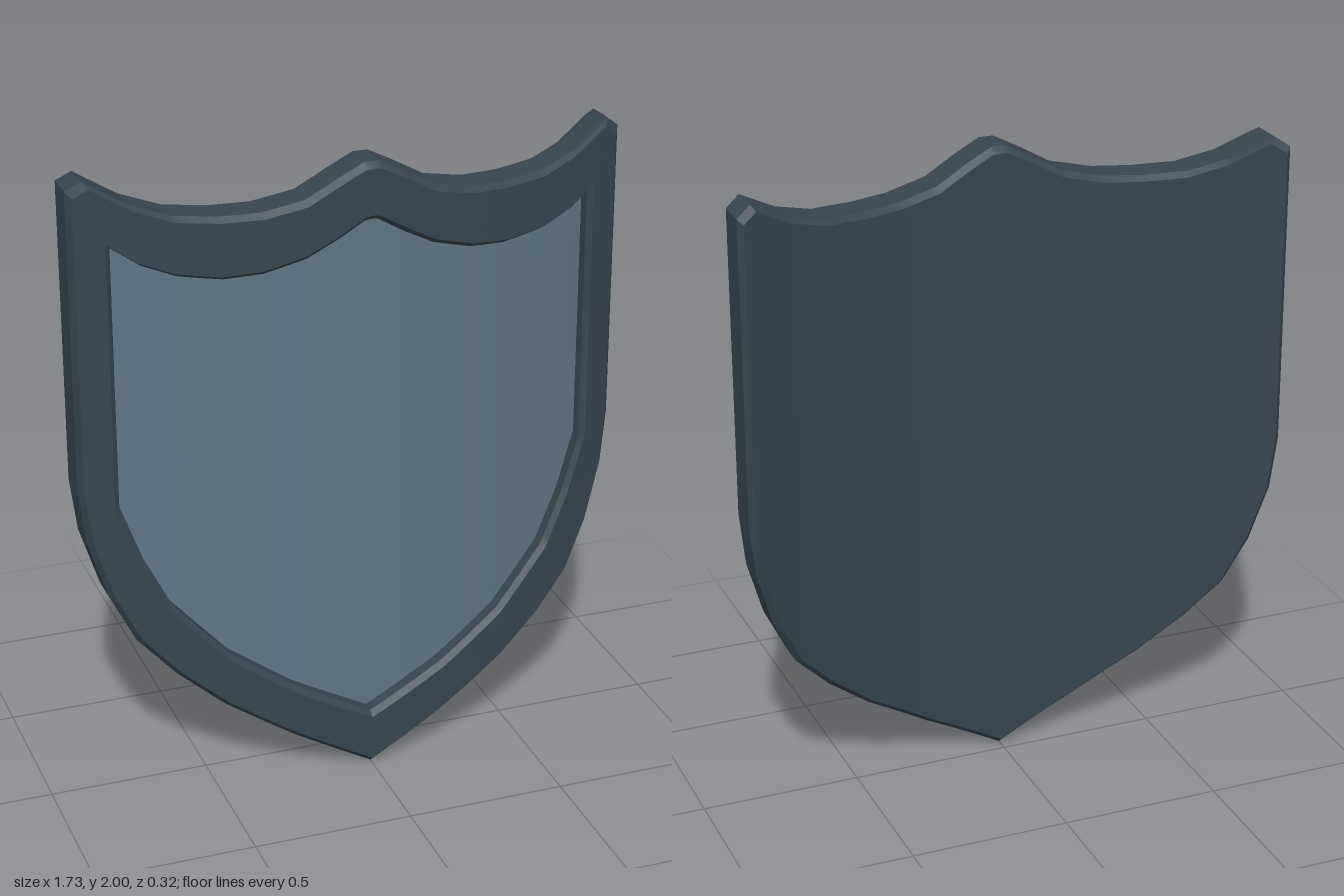
import * as THREE from 'three';
import { toCreasedNormals } from 'three/addons/utils/BufferGeometryUtils.js';

// Half outlines as [x, y] points, running from the centre line to the side
const OUTER = {
  top: [[0, 2], [0.023, 2], [0.1, 1.96], [0.2, 1.903], [0.33, 1.875], [0.45, 1.87], [0.58, 1.877], [0.7, 1.913], [0.82, 1.98], [0.865, 1.95]],
  bottom: [[0, 0], [0.25, 0.137], [0.46, 0.267], [0.6, 0.38], [0.715, 0.5], [0.79, 0.65], [0.845, 0.83], [0.865, 1]],
};
const INNER = {
  top: [[0, 1.84], [0.02, 1.838], [0.1, 1.79], [0.2, 1.737], [0.33, 1.7], [0.45, 1.69], [0.58, 1.705], [0.68, 1.74], [0.765, 1.795]],
  bottom: [[0, 0.165], [0.25, 0.295], [0.45, 0.43], [0.62, 0.61], [0.7, 0.77], [0.765, 0.95]],
};
const BACK = 0.025; // z of the back surface on the centre line
const BEND = 0.254; // how strongly the shield curves backwards

const widthOf = (half) => half.top.at(-1)[0];

function heightAt(points, x) {
  for (let i = 1; i < points.length; i++) {
    const [x0, y0] = points[i - 1];
    const [x1, y1] = points[i];
    if (x <= x1 + 1e-6) return y0 + ((y1 - y0) * (x - x0)) / (x1 - x0);
  }
  return points.at(-1)[1];
}

// Shared columns, as fractions of the half width, mirrored to both sides
const fractions = [...new Set([OUTER, INNER].flatMap((half) =>
  [...half.top, ...half.bottom].map(([x]) => Math.round((x / widthOf(half)) * 1000) / 1000)))]
  .sort((a, b) => a - b);
const columns = [...fractions.slice(1).reverse().map((u) => -u), ...fractions];

// Closed loop: along the top from left to right, back along the bottom
function makeLoop(half, scale, depth) {
  const point = (points, u) => {
    const x = u * widthOf(half);
    const y = heightAt(points, Math.abs(x));
    const sx = x * scale;
    return new THREE.Vector3(sx, 1 + (y - 1) * scale, BACK + depth - BEND * sx * sx);
  };
  return [
    ...columns.map((u) => point(half.top, u)),
    ...[...columns].reverse().map((u) => point(half.bottom, u)),
  ];
}

function quad(out, a, b, c, d) {
  out.push(a, b, c, a, c, d);
}

// Band of quads joining two loops
function addBand(out, a, b) {
  for (let i = 0; i < a.length; i++) {
    const j = (i + 1) % a.length;
    quad(out, a[i], b[i], b[j], a[j]);
  }
}

// Fills a loop with vertical strips
function addFill(out, loop, facingBack) {
  const last = loop.length - 1;
  for (let i = 0; i < columns.length - 1; i++) {
    const corners = [loop[i], loop[last - i], loop[last - i - 1], loop[i + 1]];
    if (facingBack) corners.reverse();
    quad(out, ...corners);
  }
}

function makeMesh(name, points, material) {
  const geometry = new THREE.BufferGeometry().setFromPoints(points);
  const mesh = new THREE.Mesh(toCreasedNormals(geometry, 0.4), material);
  mesh.name = name;
  return mesh;
}

export function createModel() {
  const group = new THREE.Group();
  group.name = 'shield';
  const rimMaterial = new THREE.MeshStandardMaterial({ color: 0x36454f });
  rimMaterial.name = 'dark slate';
  const panelMaterial = new THREE.MeshStandardMaterial({ color: 0x607584 });
  panelMaterial.name = 'blue grey';

  // Bevelled rim, swept from the back edge round to the recess
  const loops = [
    makeLoop(OUTER, 0.982, 0),
    makeLoop(OUTER, 1, 0.02),
    makeLoop(OUTER, 1, 0.12),
    makeLoop(OUTER, 0.982, 0.14),
    makeLoop(INNER, 1, 0.14),
    makeLoop(INNER, 0.98, 0.12),
    makeLoop(INNER, 0.98, 0.08),
  ];
  const rim = [];
  for (let i = 1; i < loops.length; i++) addBand(rim, loops[i - 1], loops[i]);
  group.add(makeMesh('rim', rim, rimMaterial));

  // Curved back surface
  const back = [];
  addFill(back, loops[0], true);
  group.add(makeMesh('back', back, rimMaterial));

  // Recessed front panel
  const panel = [];
  addFill(panel, loops.at(-1), false);
  group.add(makeMesh('frontPanel', panel, panelMaterial));

  return group;
}
